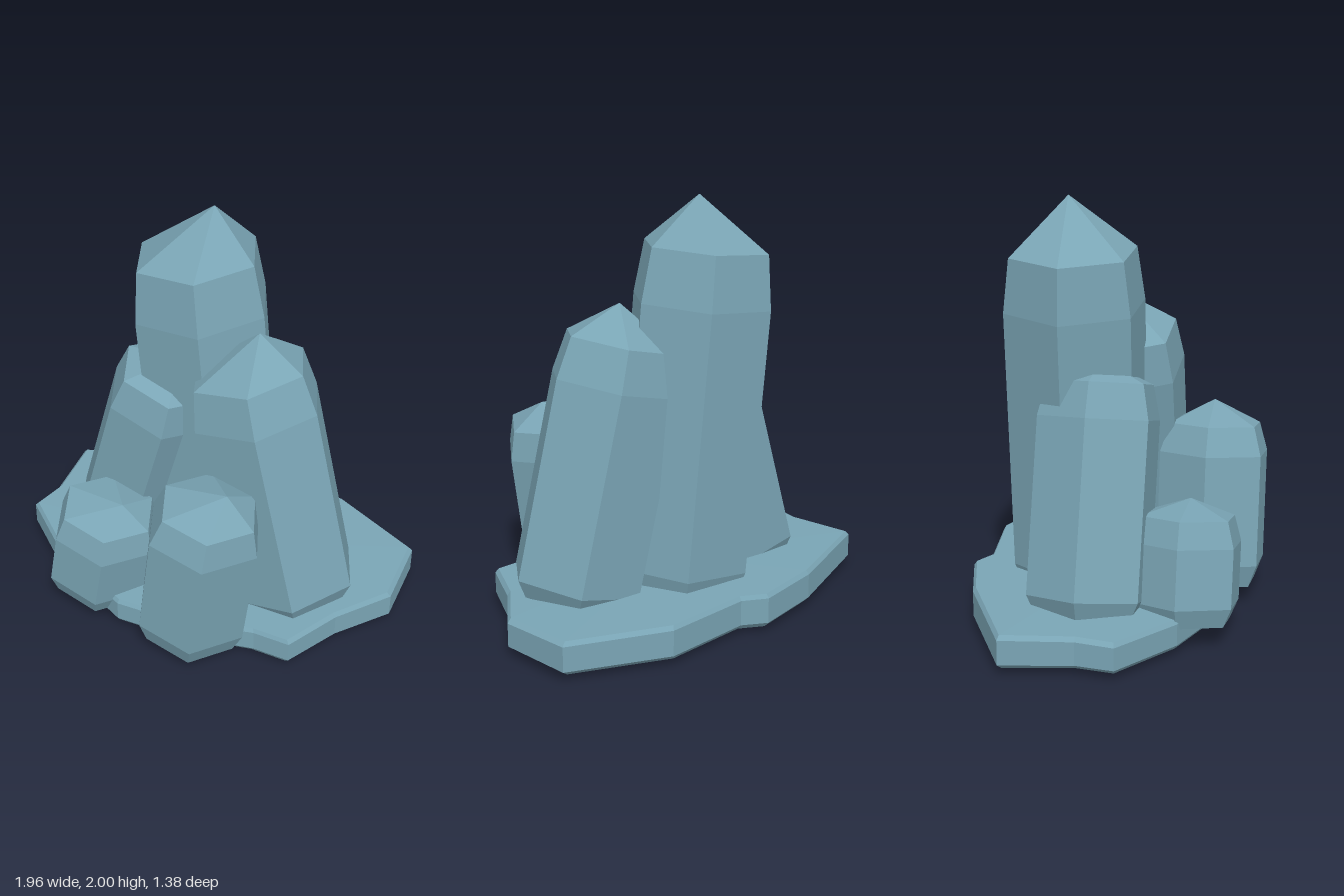
import * as THREE from 'three';

const material = new THREE.MeshStandardMaterial({ color: 0x7aa5b5, flatShading: true });

// Closed faceted solid through rings (listed bottom to top), capped by a point at each end
function loft(name, rings, bottom, top) {
  const pos = [];
  const tri = (...points) => points.forEach((p) => pos.push(...p));
  const n = rings[0].length;
  const last = rings[rings.length - 1];
  for (let i = 0; i < n; i++) {
    const j = (i + 1) % n;
    for (let k = 0; k < rings.length - 1; k++) {
      const a = rings[k], b = rings[k + 1];
      tri(a[i], b[i], b[j]);
      tri(a[i], b[j], a[j]);
    }
    tri(last[i], top, last[j]);
    tri(rings[0][i], rings[0][j], bottom);
  }
  const geometry = new THREE.BufferGeometry();
  geometry.setAttribute('position', new THREE.Float32BufferAttribute(pos, 3));
  geometry.computeVertexNormals();
  const mesh = new THREE.Mesh(geometry, material);
  mesh.name = name;
  return mesh;
}

// Leaning six-sided crystal: stations are [x, y, radius], tilt is the slope of each ring in x
function crystal({ name, z, tilt, stations, foot, tip }) {
  const squeeze = 1 / Math.hypot(1, tilt);
  const rings = stations.map(([cx, cy, r]) =>
    Array.from({ length: 6 }, (_, i) => {
      const angle = (i * Math.PI) / 3;
      const dx = r * squeeze * Math.cos(angle);
      return [cx + dx, cy + tilt * dx, z + r * Math.sin(angle)];
    }));
  return loft(name, rings, foot, tip);
}

// Irregular slab outline as [x, z]
const OUTLINE = [
  [0.98, -0.17], [0.82, 0.1], [0.72, 0.38], [0.54, 0.4], [0.25, 0.5], [0, 0.56], [-0.13, 0.58],
  [-0.6, 0.42], [-0.93, 0.2], [-0.91, 0.02], [-0.98, -0.31], [-0.46, -0.58],
  [-0.12, -0.68], [0, -0.625], [0.44, -0.69], [0.92, -0.53],
];

function rockBase() {
  // [scale, height] of each ring; the top rises slightly towards the back
  const levels = [[0.965, 0.025], [1, 0.05], [1, 0.16], [0.98, 0.18]];
  const rings = levels.map(([s, y], k) =>
    OUTLINE.map(([x, z]) => [x * s, k < 2 ? y : y - z * 0.02, z * s]));
  return loft('rockBase', rings, [0, 0.025, 0], [0, 0.19, 0]);
}

const CRYSTALS = [
  { name: 'tallCrystal', z: -0.16, tilt: 0.1, foot: [0.02, 0.06, -0.16], tip: [-0.07, 2, -0.2],
    stations: [[0.02, 0.1, 0.3], [0.01, 0.23, 0.345], [-0.115, 1.49, 0.345], [-0.14, 1.745, 0.31]] },
  { name: 'leftCrystal', z: -0.02, tilt: 0.24, foot: [0.31, 0, -0.02], tip: [0.27, 1.515, -0.05],
    stations: [[0.52, 0.12, 0.28], [0.51, 0.2, 0.328], [0.28, 1.125, 0.328], [0.235, 1.32, 0.29]] },
  { name: 'rightCrystal', z: -0.02, tilt: -0.25, foot: [-0.27, 0, -0.02], tip: [-0.15, 1.25, -0.02],
    stations: [[-0.47, 0.12, 0.26], [-0.46, 0.2, 0.3], [-0.23, 0.99, 0.3], [-0.19, 1.15, 0.26]] },
  { name: 'frontLeftCrystal', z: 0.445, tilt: -0.14, foot: [0.24, 0.05, 0.44], tip: [0.4, 0.95, 0.43],
    stations: [[0.21, 0.07, 0.24], [0.22, 0.18, 0.285], [0.29, 0.715, 0.285], [0.315, 0.852, 0.24]] },
  { name: 'frontRightCrystal', z: 0.41, tilt: -0.18, foot: [-0.33, 0.05, 0.41], tip: [-0.2, 0.62, 0.41],
    stations: [[-0.36, 0.08, 0.23], [-0.35, 0.17, 0.272], [-0.3, 0.44, 0.272], [-0.285, 0.562, 0.235]] },
];

export function createModel() {
  const model = new THREE.Group();
  model.name = 'crystalCluster';
  model.add(rockBase(), ...CRYSTALS.map(crystal));
  return model;
}
